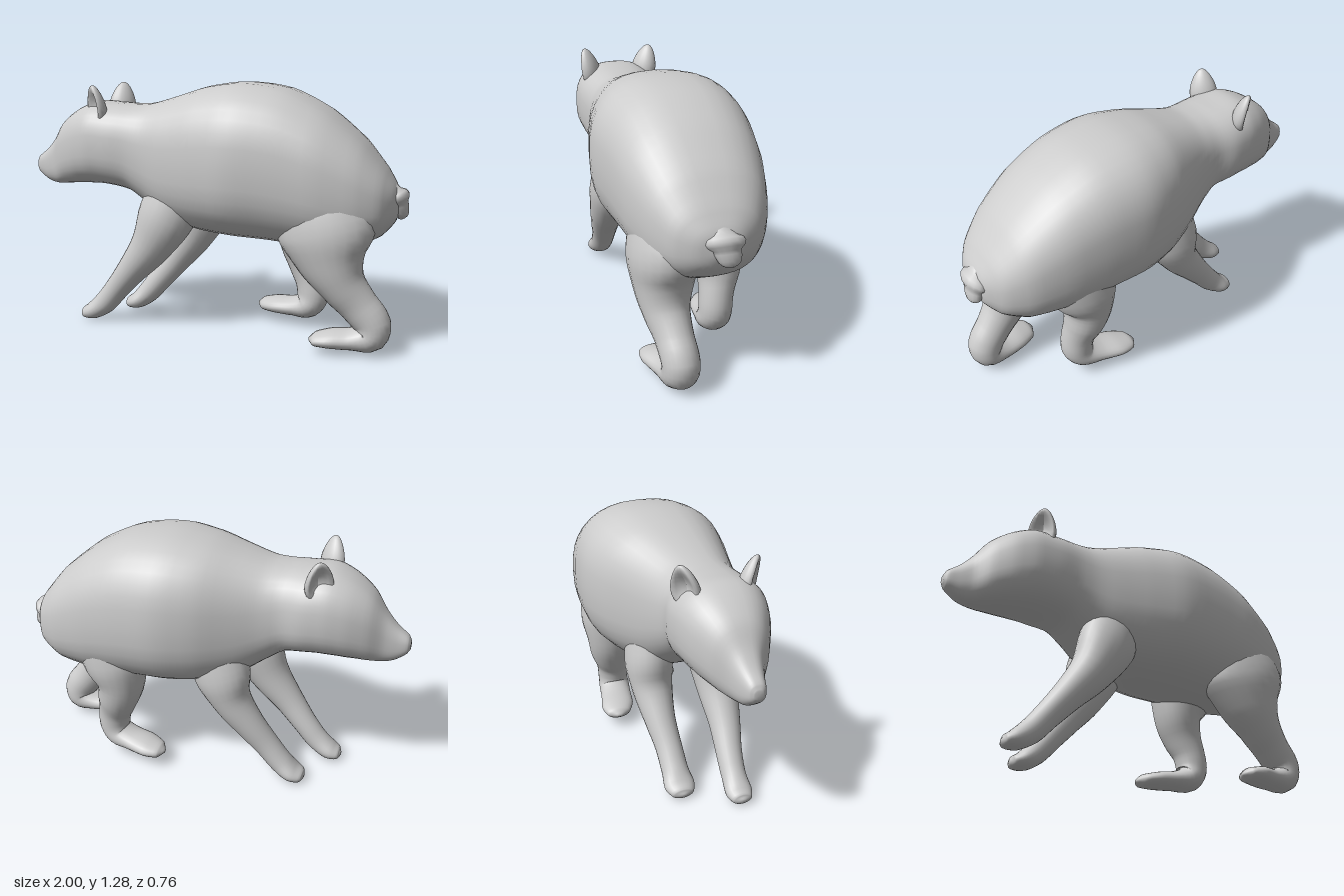
import * as THREE from 'three';

const grey = new THREE.MeshStandardMaterial({ color: 0xcccccc });

// Smooth skin over rings; each ring is [x, y, z, half height, half depth].
function loft(name, rings, { steps = 4, sides = 24, power = 1, upright = false } = {}) {
  const centre = new THREE.CatmullRomCurve3(rings.map(r => new THREE.Vector3(r[0], r[1], r[2])));
  const radius = new THREE.CatmullRomCurve3(rings.map(r => new THREE.Vector3(r[3], r[4], 0)));
  const count = (rings.length - 1) * steps;
  const side = new THREE.Vector3(0, 0, 1);
  const pos = [], index = [];
  const bend = v => Math.sign(v) * Math.pow(Math.abs(v), power);
  for (let i = 0; i <= count; i++) {
    const t = i / count, c = centre.getPoint(t), r = radius.getPoint(t);
    const dir = upright ? new THREE.Vector3(1, 0, 0) : centre.getTangent(t);
    dir.z = 0;
    const up = new THREE.Vector3().crossVectors(side, dir.normalize());
    for (let j = 0; j < sides; j++) {
      const a = j / sides * Math.PI * 2;
      const p = c.clone().addScaledVector(up, r.x * bend(Math.cos(a)))
        .addScaledVector(side, r.y * bend(Math.sin(a)));
      pos.push(p.x, Math.max(p.y, 0), p.z);
      if (i < count) {
        const k = i * sides + j, n = i * sides + (j + 1) % sides;
        index.push(k, n, k + sides, n, n + sides, k + sides);
      }
    }
  }
  // Rounded-off ends
  const first = pos.length / 3, last = count * sides;
  pos.push(...centre.getPoint(0).toArray(), ...centre.getPoint(1).toArray());
  for (let j = 0; j < sides; j++) {
    const n = (j + 1) % sides;
    index.push(first, n, j, first + 1, last + j, last + n);
  }
  const geo = new THREE.BufferGeometry();
  geo.setAttribute('position', new THREE.Float32BufferAttribute(pos, 3));
  geo.setIndex(index);
  geo.computeVertexNormals();
  const mesh = new THREE.Mesh(geo, grey);
  mesh.name = name;
  return mesh;
}

// Rounded ear, broad at the base, with a hollow on its front (-x) face
function ear(name, z, mirror) {
  const geo = new THREE.SphereGeometry(1, 20, 14);
  const p = geo.attributes.position;
  for (let i = 0; i < p.count; i++) {
    let x = p.getX(i);
    const y = p.getY(i), w = p.getZ(i);
    const rim = Math.min(1, y * y + w * w);
    if (x < 0) x *= 1 - 1.3 * (1 - rim);
    const taper = 1 - 0.3 * y;
    p.setXYZ(i, x * 0.05 * taper, y * 0.105, w * 0.07 * taper);
  }
  geo.computeVertexNormals();
  const mesh = new THREE.Mesh(geo, grey);
  mesh.name = name;
  mesh.position.set(-0.565, 1.17, z);
  mesh.rotation.set(mirror * 0.2, mirror * 0.9, 0.04);
  return mesh;
}

export function createModel() {
  const bear = new THREE.Group();
  bear.name = 'bear';

  // Head, neck and trunk: x, top, bottom, z from, z to
  const trunk = [
    [-1.0, 0.85, 0.81, 0.02, 0.06],
    [-0.985, 0.877, 0.785, 0.0, 0.08],
    [-0.93, 0.92, 0.745, -0.02, 0.1],
    [-0.87, 0.985, 0.73, -0.045, 0.125],
    [-0.8, 1.08, 0.735, -0.1, 0.18],
    [-0.7, 1.15, 0.745, -0.15, 0.235],
    [-0.6, 1.185, 0.75, -0.175, 0.265],
    [-0.5, 1.18, 0.745, -0.18, 0.27],
    [-0.4, 1.175, 0.725, -0.165, 0.265],
    [-0.3, 1.18, 0.66, -0.185, 0.27],
    [-0.18, 1.215, 0.58, -0.24, 0.3],
    [0.0, 1.272, 0.535, -0.335, 0.345],
    [0.2, 1.295, 0.52, -0.385, 0.38],
    [0.4, 1.268, 0.51, -0.37, 0.36],
    [0.6, 1.175, 0.5, -0.335, 0.335],
    [0.78, 1.03, 0.52, -0.275, 0.28],
    [0.89, 0.9, 0.575, -0.195, 0.21],
    [0.945, 0.815, 0.64, -0.1, 0.12],
    [0.965, 0.755, 0.7, -0.025, 0.03],
  ].map(([x, t, b, z0, z1]) => [x, (t + b) / 2, (z0 + z1) / 2, (t - b) / 2, (z1 - z0) / 2]);
  bear.add(loft('headAndTrunk', trunk, { sides: 36, power: 0.79, upright: true }));

  // Stubby tail
  bear.add(loft('tail', [
    [0.88, 0.84, 0.01, 0.02, 0.03], [0.925, 0.78, 0, 0.045, 0.065],
    [0.955, 0.725, -0.01, 0.045, 0.065], [0.968, 0.675, -0.02, 0.033, 0.05],
    [0.962, 0.65, -0.02, 0.01, 0.015],
  ], { sides: 16 }));

  // Ears
  bear.add(ear('frontSideEar', 0.195, 1), ear('backSideEar', -0.125, -1));

  // Nose pad
  const nose = new THREE.Mesh(new THREE.SphereGeometry(1, 14, 10), grey);
  nose.name = 'nose';
  nose.scale.set(0.028, 0.026, 0.036);
  nose.position.set(-0.968, 0.845, 0.04);
  bear.add(nose);

  // Forelegs
  bear.add(loft('frontSideForeleg', [
    [-0.07, 0.92, 0.13, 0.05, 0.05], [-0.12, 0.78, 0.15, 0.15, 0.105],
    [-0.185, 0.62, 0.17, 0.15, 0.12], [-0.27, 0.46, 0.175, 0.11, 0.105],
    [-0.39, 0.31, 0.17, 0.078, 0.08], [-0.49, 0.19, 0.155, 0.064, 0.066],
    [-0.56, 0.11, 0.15, 0.06, 0.062], [-0.63, 0.06, 0.148, 0.048, 0.068],
    [-0.68, 0.045, 0.148, 0.03, 0.05], [-0.695, 0.045, 0.148, 0.008, 0.012],
  ]));
  bear.add(loft('backSideForeleg', [
    [-0.03, 0.9, -0.1, 0.05, 0.05], [-0.06, 0.76, -0.12, 0.15, 0.11],
    [-0.1, 0.6, -0.135, 0.15, 0.12], [-0.15, 0.46, -0.135, 0.105, 0.105],
    [-0.25, 0.32, -0.13, 0.08, 0.08], [-0.345, 0.2, -0.115, 0.066, 0.068],
    [-0.42, 0.11, -0.11, 0.06, 0.068], [-0.48, 0.06, -0.108, 0.048, 0.078],
    [-0.535, 0.042, -0.108, 0.03, 0.055], [-0.55, 0.04, -0.108, 0.008, 0.012],
  ]));

  // Hind legs, each with a long flat foot
  bear.add(loft('frontSideHindLeg', [
    [0.56, 0.92, 0.12, 0.08, 0.06], [0.6, 0.78, 0.155, 0.2, 0.135],
    [0.64, 0.61, 0.17, 0.24, 0.16], [0.675, 0.46, 0.175, 0.17, 0.14],
    [0.73, 0.35, 0.18, 0.115, 0.11], [0.81, 0.25, 0.168, 0.095, 0.09],
    [0.875, 0.165, 0.16, 0.09, 0.088], [0.87, 0.105, 0.16, 0.08, 0.088],
    [0.78, 0.082, 0.17, 0.052, 0.088], [0.69, 0.08, 0.19, 0.046, 0.092],
    [0.61, 0.073, 0.205, 0.032, 0.07], [0.58, 0.07, 0.21, 0.008, 0.015],
  ]));
  bear.add(loft('backSideHindLeg', [
    [0.52, 0.92, -0.12, 0.08, 0.06], [0.51, 0.78, -0.165, 0.18, 0.135],
    [0.475, 0.61, -0.175, 0.18, 0.15], [0.45, 0.47, -0.175, 0.13, 0.13],
    [0.475, 0.35, -0.175, 0.105, 0.105], [0.505, 0.25, -0.155, 0.087, 0.085],
    [0.51, 0.175, -0.15, 0.083, 0.083], [0.485, 0.125, -0.15, 0.072, 0.088],
    [0.4, 0.105, -0.165, 0.05, 0.088], [0.31, 0.098, -0.185, 0.044, 0.092],
    [0.23, 0.09, -0.2, 0.032, 0.065], [0.2, 0.088, -0.205, 0.008, 0.015],
  ]));

  return bear;
}
